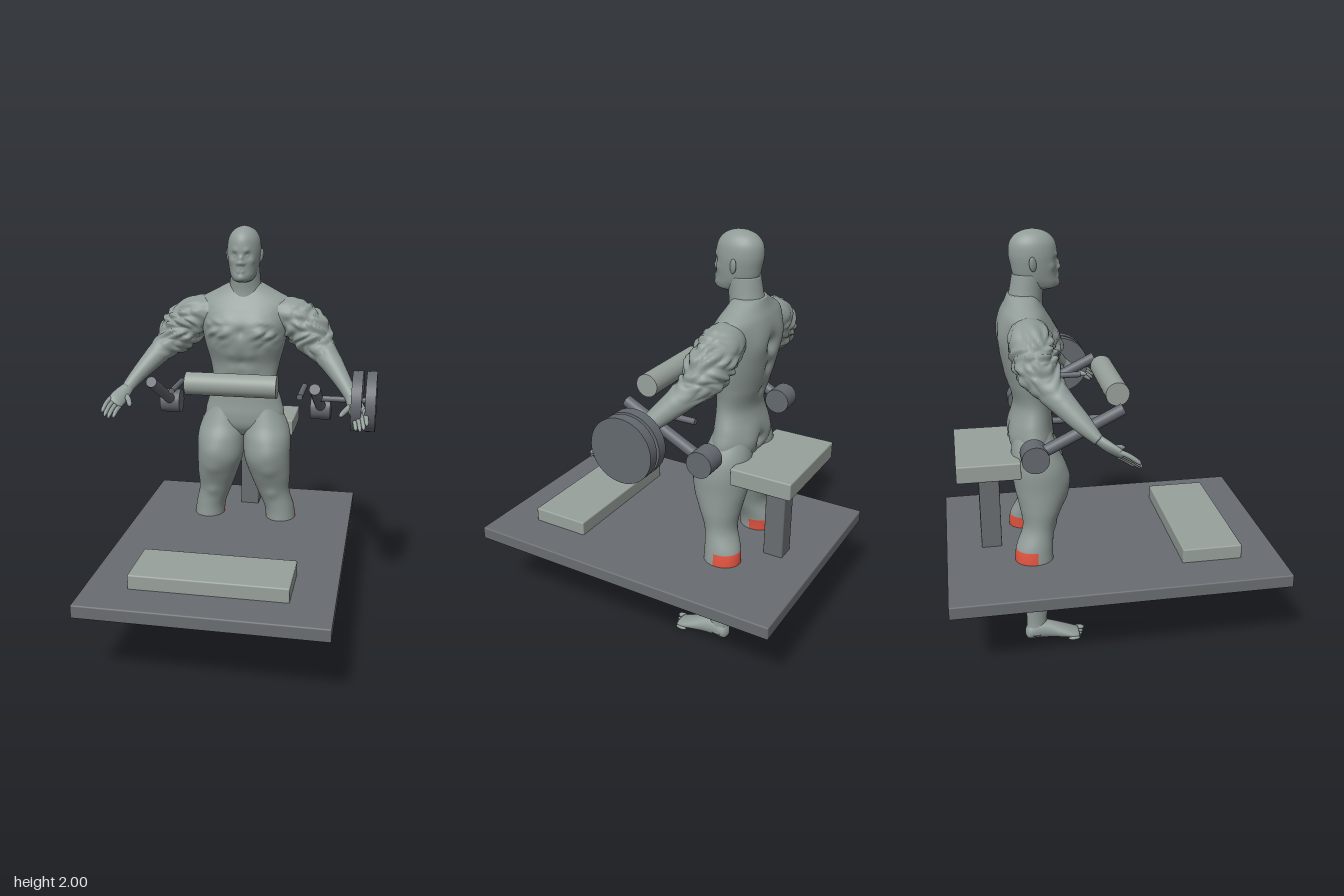
import * as THREE from 'three';
import { RoundedBoxGeometry } from 'three/addons/geometries/RoundedBoxGeometry.js';

const mat = (name, color) => Object.assign(new THREE.MeshStandardMaterial({ color }), { name });
const V = (x, y, z) => new THREE.Vector3(x, y, z);

// Smooth skin through elliptical sections [x, y, z, sideRadius, forwardRadius].
// axis fixes the ring direction, deform(p, n) gives an offset, red(y, sin) picks material 1.
function loft(sections, { axis, ref = V(0, 0, 1), rings = 40, sides = 32, deform, red } = {}) {
  const curve = (f) => new THREE.CatmullRomCurve3(sections.map(f), false, 'catmullrom', 0.5);
  const centre = curve((s) => V(s[0], s[1], s[2])), radii = curve((s) => V(s[3], s[4], 0));
  const pos = [], main = [], painted = [];
  for (let i = 0; i <= rings; i++) {
    const c = centre.getPoint(i / rings), r = radii.getPoint(i / rings);
    const t = axis || centre.getTangent(i / rings);
    const side = V().crossVectors(t, ref).normalize(), fwd = V().crossVectors(side, t);
    for (let j = 0; j < sides; j++) {
      const a = (j / sides) * Math.PI * 2;
      const n = side.clone().multiplyScalar(Math.cos(a)).addScaledVector(fwd, Math.sin(a));
      const p = c.clone().addScaledVector(side, Math.cos(a) * Math.max(r.x, 0.001))
        .addScaledVector(fwd, Math.sin(a) * Math.max(r.y, 0.001));
      if (deform) p.addScaledVector(n, deform(p, n));
      pos.push(p.x, p.y, p.z);
    }
  }
  for (let i = 0; i < rings; i++) for (let j = 0; j < sides; j++) {
    const k = (j + 1) % sides, a = i * sides + j, b = a + sides, c = i * sides + k, d = c + sides;
    const y = (pos[a * 3 + 1] + pos[b * 3 + 1]) / 2;
    const list = red && red(y, Math.sin(((j + 0.5) / sides) * Math.PI * 2)) ? painted : main;
    list.push(a, b, c, c, b, d);
  }
  // end caps
  for (const end of [0, 1]) {
    const c = centre.getPoint(end), o = end * rings * sides, m = pos.length / 3;
    pos.push(c.x, c.y, c.z);
    for (let j = 0; j < sides; j++) {
      const a = o + j, b = o + (j + 1) % sides;
      end ? main.push(m, b, a) : main.push(m, a, b);
    }
  }
  const g = new THREE.BufferGeometry();
  g.setAttribute('position', new THREE.Float32BufferAttribute(pos, 3));
  g.setIndex([...main, ...painted]);
  g.addGroup(0, main.length, 0);
  if (painted.length) g.addGroup(main.length, painted.length, 1);
  g.computeVertexNormals();
  return g;
}

// Mirrored soft bumps [x, y, z, radius, height]
const bumps = (list) => (p) => list.reduce((sum, [x, y, z, r, h]) =>
  sum + h * Math.exp(-((Math.abs(p.x) - x) ** 2 + (p.y - y) ** 2 + (p.z - z) ** 2) / (r * r)), 0);
// Knotted muscle texture
const ruffle = (p) => Math.abs(Math.sin(p.x * 41 + 2 * Math.sin(p.y * 37)) * Math.sin(p.y * 45 + 2 * Math.sin(p.z * 33))) - 0.45;

export function createModel() {
  const model = new THREE.Group();
  const skin = mat('skin grey', 0x909b97), pad = mat('pad grey', 0x98a19c), base = mat('platform grey', 0x696d71);
  const steel = mat('frame steel', 0x646970), red = mat('highlighted calf red', 0xe0533f);
  const add = (name, geo, m, parent = model) => {
    const mesh = new THREE.Mesh(geo, m);
    mesh.name = name;
    parent.add(mesh);
    return mesh;
  };
  const box = (name, m, x0, x1, y0, y1, z0, z1) =>
    add(name, new RoundedBoxGeometry(x1 - x0, y1 - y0, z1 - z0, 2, 0.007), m)
      .position.set((x0 + x1) / 2, (y0 + y1) / 2, (z0 + z1) / 2);
  const rod = (name, m, a, b, r) => {
    const mesh = add(name, new THREE.CylinderGeometry(r, r, a.distanceTo(b), 40), m);
    mesh.position.lerpVectors(a, b, 0.5);
    mesh.quaternion.setFromUnitVectors(V(0, 1, 0), b.clone().sub(a).normalize());
  };

  // Machine boards
  box('platform', base, -0.6, 0.555, 0.375, 0.44, -0.81, 0.805);
  box('footPad', pad, -0.395, 0.352, 0.435, 0.51, 0.315, 0.61);
  box('seatPost', base, -0.07, 0.03, 0.43, 0.9, -0.635, -0.535);
  box('seat', pad, -0.27, 0.23, 0.885, 0.97, -0.74, -0.44);

  // Roller, levers and weights
  rod('roller', pad, V(-0.245, 1.27, 0.018), V(0.203, 1.27, 0.018), 0.056);
  for (const [x, gx] of [[-0.425, -0.345], [0.383, 0.302]]) {
    rod('leverArm', steel, V(x, 1.065, -0.39), V(x, 1.265, 0.01), 0.027);
    rod('leverPad', steel, V(x - 0.052, 1.065, -0.39), V(x + 0.052, 1.065, -0.39), 0.062);
    rod('handle', steel, V(gx, 1.2, -0.3), V(gx, 1.2, 0.0 - 0.075), 0.015);
  }
  rod('weightAxle', steel, V(0.385, 1.18, -0.148), V(0.63, 1.18, -0.148), 0.015);
  rod('innerWeight', steel, V(0.556, 1.176, -0.148), V(0.607, 1.176, -0.148), 0.15);
  rod('outerWeight', steel, V(0.624, 1.176, -0.148), V(0.674, 1.176, -0.148), 0.15);

  // Figure, symmetric about its own x = 0
  const figure = new THREE.Group();
  figure.name = 'figure';
  figure.position.x = -0.02;
  model.add(figure);
  const up = V(0, 1, 0);

  const torsoBumps = bumps([
    [0.11, 1.5, -0.22, 0.085, 0.02], [0, 1.48, -0.22, 0.025, -0.016], [0.1, 1.4, -0.22, 0.03, -0.012],
    [0, 1.25, -0.26, 0.02, -0.006], [0, 1.32, -0.26, 0.02, -0.008], [0, 1.4, -0.5, 0.035, -0.02],
    [0, 1.5, -0.51, 0.04, -0.03], [0, 1.28, -0.47, 0.03, -0.014], [0.11, 1.52, -0.5, 0.08, 0.016],
    [0.045, 1.2, -0.27, 0.035, 0.006], [0.045, 1.28, -0.27, 0.035, 0.008], [0.045, 1.36, -0.25, 0.03, 0.008],
    [0.09, 1.03, -0.46, 0.07, 0.018], [0, 1.02, -0.47, 0.03, -0.025]]);
  const chestKnots = bumps([[0.13, 1.48, -0.22, 0.065, 0.03]]);
  add('torso', loft([
    [0, 0.92, -0.36, 0.05, 0.06], [0, 0.97, -0.363, 0.19, 0.095], [0, 1.03, -0.365, 0.21, 0.105],
    [0, 1.1, -0.368, 0.195, 0.103], [0, 1.2, -0.36, 0.168, 0.092], [0, 1.3, -0.37, 0.182, 0.108],
    [0, 1.4, -0.365, 0.208, 0.138], [0, 1.5, -0.367, 0.228, 0.142], [0, 1.58, -0.38, 0.245, 0.125],
    [0, 1.63, -0.388, 0.235, 0.105], [0, 1.67, -0.39, 0.165, 0.085], [0, 1.71, -0.39, 0.09, 0.07]],
  { axis: up, rings: 96, sides: 96, deform: (p) => torsoBumps(p) + chestKnots(p) * ruffle(p) }), skin, figure);

  add('neck', loft([[0, 1.58, -0.385, 0.1, 0.1], [0, 1.66, -0.38, 0.088, 0.085],
    [0, 1.72, -0.37, 0.079, 0.079], [0, 1.8, -0.355, 0.074, 0.078]], { axis: up }), skin, figure);

  // Head with sculpted face
  add('head', loft([
    [0, 1.728, -0.29, 0.03, 0.04], [0, 1.738, -0.297, 0.05, 0.068], [0, 1.76, -0.31, 0.063, 0.088],
    [0, 1.79, -0.325, 0.073, 0.1], [0, 1.84, -0.331, 0.081, 0.106], [0, 1.89, -0.334, 0.084, 0.111],
    [0, 1.94, -0.335, 0.077, 0.104], [0, 1.975, -0.335, 0.056, 0.077], [0, 1.993, -0.335, 0.028, 0.04],
    [0, 2, -0.335, 0.001, 0.001]], {
    axis: up, rings: 100, sides: 120, deform: bumps([
      [0, 1.827, -0.22, 0.014, 0.02], [0, 1.85, -0.22, 0.012, 0.012], [0.016, 1.823, -0.225, 0.009, 0.006],
      [0.033, 1.863, -0.235, 0.016, -0.011], [0.033, 1.86, -0.235, 0.009, 0.007], [0.03, 1.885, -0.23, 0.015, 0.005],
      [0, 1.798, -0.225, 0.015, 0.008], [0.01, 1.784, -0.225, 0.011, 0.006], [0, 1.791, -0.22, 0.006, -0.005],
      [0, 1.752, -0.225, 0.022, 0.01], [0.055, 1.835, -0.25, 0.02, 0.005]]),
  }), skin, figure);

  for (const s of [-1, 1]) {
    const ear = add('ear', new THREE.SphereGeometry(1, 16, 12), skin, figure);
    ear.scale.set(0.009, 0.034, 0.018);
    ear.position.set(s * 0.085, 1.853, -0.343);
    ear.rotation.set(-0.15, s * -0.35, s * -0.12);

    // Leg, with the back of the calf highlighted
    add('leg', loft([
      [0.1, 1.08, -0.37, 0.08, 0.085], [0.115, 0.98, -0.362, 0.115, 0.112], [0.124, 0.9, -0.345, 0.125, 0.13],
      [0.127, 0.8, -0.336, 0.122, 0.131], [0.143, 0.7, -0.343, 0.107, 0.104], [0.16, 0.6, -0.358, 0.087, 0.078],
      [0.19, 0.5, -0.385, 0.08, 0.09], [0.2, 0.4, -0.388, 0.08, 0.092], [0.207, 0.3, -0.388, 0.071, 0.078],
      [0.212, 0.2, -0.383, 0.052, 0.058], [0.218, 0.1, -0.388, 0.038, 0.05], [0.225, 0.03, -0.393, 0.038, 0.048],
    ].map(([x, ...r]) => [s * x, ...r]).reverse(), {
      axis: up, rings: 110, sides: 48, red: (y, f) => y > 0.2 && y < 0.495 && f < 0.1,
      deform: bumps([[0.15, 0.84, -0.21, 0.05, 0.008], [0.15, 0.745, -0.23, 0.04, 0.008], [0.16, 0.6, -0.28, 0.03, 0.008]]),
    }), [skin, red], figure);

    // Foot and toes
    add('foot', loft([
      [0.222, 0.035, -0.447, 0.012, 0.015], [0.222, 0.04, -0.43, 0.036, 0.038], [0.223, 0.052, -0.38, 0.04, 0.05],
      [0.226, 0.046, -0.32, 0.042, 0.044], [0.23, 0.034, -0.26, 0.05, 0.032], [0.234, 0.023, -0.21, 0.052, 0.021],
      [0.236, 0.018, -0.18, 0.044, 0.014]].map(([x, ...r]) => [s * x, ...r]),
    { axis: V(0, 0, 1), ref: up, rings: 24 }), skin, figure);
    for (let i = 0; i < 5; i++) {
      const toe = add('toe', new THREE.SphereGeometry(1, 12, 10), skin, figure);
      const r = i ? 0.0105 : 0.015;
      toe.scale.set(r, r, 0.03);
      toe.position.set(s * (0.198 + i * 0.02 + (i ? 0.004 : 0)), r + 0.001, -0.176 - i * 0.008);
    }

    // Arm with knotted deltoid and biceps
    const knots = bumps([[0.33, 1.48, -0.36, 0.12, 0.042]]);
    add('arm', loft([
      [0.16, 1.56, -0.375, 0.08, 0.085], [0.25, 1.545, -0.38, 0.097, 0.1], [0.32, 1.485, -0.37, 0.108, 0.1],
      [0.37, 1.425, -0.35, 0.098, 0.092], [0.415, 1.38, -0.315, 0.068, 0.07], [0.47, 1.32, -0.26, 0.054, 0.056],
      [0.53, 1.25, -0.19, 0.04, 0.042], [0.575, 1.19, -0.13, 0.03, 0.024]].map(([x, ...r]) => [s * x, ...r]),
    { rings: 90, sides: 64, deform: (p) => knots(p) * ruffle(p) }), skin, figure);

    // Hand: palm, four fingers, thumb
    add('palm', loft([
      [0.565, 1.2, -0.14, 0.028, 0.022], [0.59, 1.168, -0.095, 0.04, 0.022], [0.61, 1.142, -0.05, 0.042, 0.018],
      [0.617, 1.13, -0.033, 0.034, 0.012]].map(([x, ...r]) => [s * x, ...r]), { rings: 16, sides: 20 }), skin, figure);
    const digit = (name, pts, r) => add(name, loft(pts.map(([x, y, z], i) =>
      [s * x, y, z, r * [1, 1, 0.85, 0.3][i], r * [1, 1, 0.85, 0.3][i]]), { rings: 12, sides: 12 }), skin, figure);
    for (let i = 0; i < 4; i++) {
      const k = (i - 1.5) * 0.021, x = 0.613 + k * 0.78, y = 1.138 + k * 0.62, l = [0.8, 1, 1.05, 0.95][i];
      digit('finger', [[x, y, -0.05], [x + 0.012 * l, y - 0.018 * l, -0.05 + 0.04 * l],
        [x + 0.02 * l, y - 0.045 * l, -0.05 + 0.078 * l], [x + 0.022 * l, y - 0.058 * l, -0.05 + 0.088 * l]], 0.0115);
    }
    digit('thumb', [[0.575, 1.165, -0.105], [0.548, 1.145, -0.065], [0.532, 1.135, -0.025], [0.53, 1.132, -0.008]], 0.014);
  }
  return model;
}
